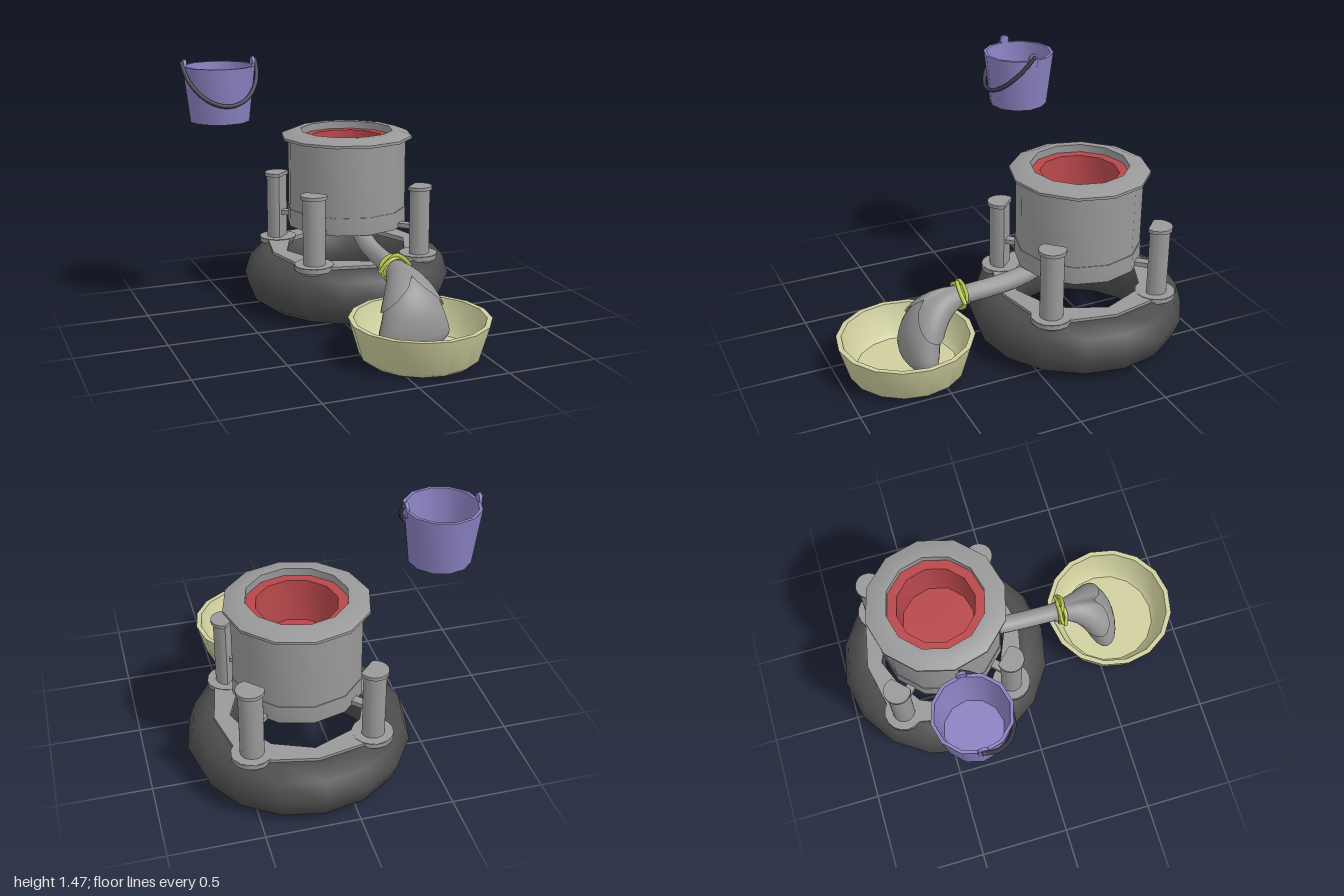
import * as THREE from 'three';
import { toCreasedNormals } from 'three/addons/utils/BufferGeometryUtils.js';
import { ParametricGeometry } from 'three/addons/geometries/ParametricGeometry.js';

const V = (x, y, z) => new THREE.Vector3(x, y, z);

function mat(name, color, side = THREE.FrontSide) {
  const m = new THREE.MeshStandardMaterial({ color, side });
  m.name = name;
  return m;
}

export function createModel() {
  const metal = mat('grey metal', 0x999999);
  const cloth = mat('grey cloth', 0x949494, THREE.DoubleSide);
  const rubber = mat('dark rubber', 0x4c4c4c);
  const red = mat('red liner', 0xb8474b);
  const beige = mat('pale basin', 0xcfcf9f);
  const rope = mat('yellow rope', 0xc3d153);
  const purple = mat('purple bucket', 0x8b82c2);
  const black = mat('dark handle', 0x3d3b4a);

  const model = new THREE.Group();
  model.name = 'washingMachineSet';
  const group = (name, x, z, parent = model) => {
    const g = new THREE.Group();
    g.name = name;
    g.position.set(x, 0, z);
    parent.add(g);
    return g;
  };
  const add = (parent, name, geo, material) => {
    const m = new THREE.Mesh(geo, material);
    m.name = name;
    parent.add(m);
    return m;
  };
  const lathe = (pts, sides, crease = 0.6) =>
    toCreasedNormals(new THREE.LatheGeometry(pts.map(p => new THREE.Vector2(...p)), sides), crease);
  const tube = (pts, r, seg = 20, sides = 8) =>
    new THREE.TubeGeometry(new THREE.CatmullRomCurve3(pts), seg, r, sides);
  // upright prism from a flat shape
  const prism = (shape, y0, y1) => {
    const g = new THREE.ExtrudeGeometry(shape, { depth: y1 - y0, bevelEnabled: false, curveSegments: 12 });
    g.rotateX(-Math.PI / 2).translate(0, y0, 0);
    return toCreasedNormals(g, 0.6);
  };

  const machine = group('machine', 0.18, -0.4);

  // Inflated tyre base
  add(machine, 'tyre', lathe([[0.42, 0.01], [0.49, 0.01], [0.565, 0.06], [0.605, 0.165], [0.57, 0.275],
    [0.49, 0.32], [0.43, 0.32], [0.385, 0.27], [0.36, 0.165], [0.385, 0.06], [0.42, 0.01]], 16, 1.1), rubber);

  // Support plate with rounded corners and an octagonal hole
  const plate = new THREE.Shape();
  for (let i = 0; i < 4; i++) {
    const a = i * Math.PI / 2, d = a + Math.PI / 4;
    const cx = 0.452 * Math.cos(d), cy = 0.452 * Math.sin(d);
    const px = 0.455 * Math.cos(a), py = 0.455 * Math.sin(a);
    i ? plate.lineTo(px, py) : plate.moveTo(px, py);
    for (let k = 0; k <= 8; k++) {
      const t = a + (-40 + k * 21.25) * Math.PI / 180;
      plate.lineTo(cx + 0.11 * Math.cos(t), cy + 0.11 * Math.sin(t));
    }
  }
  const hole = new THREE.Path();
  for (let i = 0; i < 8; i++) {
    const a = -i * Math.PI / 4;
    i ? hole.lineTo(0.37 * Math.cos(a), 0.37 * Math.sin(a)) : hole.moveTo(0.37, 0);
  }
  plate.holes.push(hole);
  add(machine, 'supportPlate', prism(plate, 0.31, 0.336), metal);

  // Four posts: pad, shaft, cap and bracket to the drum
  const dShape = r => {
    const s = new THREE.Shape();
    s.absarc(0, 0, r, -2.2, 2.2, false);
    s.closePath();
    return s;
  };
  for (let i = 0; i < 4; i++) {
    const post = group('post' + (i + 1), 0, 0, machine);
    post.rotation.y = Math.PI / 4 + i * Math.PI / 2;
    const pad = add(post, 'pad', toCreasedNormals(new THREE.CylinderGeometry(0.11, 0.085, 0.05, 16), 0.6), metal);
    pad.position.set(0.452, 0.315, 0);
    add(post, 'shaft', prism(dShape(0.063), 0.3, 0.72), metal).position.x = 0.452;
    add(post, 'cap', prism(dShape(0.074), 0.715, 0.735), metal).position.x = 0.452;
    const bar = add(post, 'bracket', new THREE.BoxGeometry(0.14, 0.026, 0.05), metal);
    bar.position.set(0.38, 0.493, 0);
  }

  // Drum, lower band and red liner
  add(machine, 'drum', lathe([[0, 0.482], [0.345, 0.482], [0.345, 0.985], [0.382, 0.985], [0.382, 1.0],
    [0.31, 1.028], [0.268, 1.028], [0.268, 0.98]], 12, 0.55), metal);
  add(machine, 'drumBand', lathe([[0.3, 0.48], [0.349, 0.48], [0.349, 0.58], [0.344, 0.58]], 12), metal);
  add(machine, 'liner', lathe([[0.268, 0.985], [0.215, 0.985], [0.2, 0.75], [0, 0.75]], 12), red);

  // Drain pipe
  add(model, 'drainPipe', tube([V(0.18, 0.53, -0.27), V(0.18, 0.44, -0.12), V(0.18, 0.405, 0.02),
    V(0.18, 0.383, 0.32)], 0.052, 16, 12), metal);

  // Cloth filter bag: path of (y, z) with half width and half height
  const rings = [[0.384, 0.27, 0.056, 0.055], [0.383, 0.33, 0.062, 0.055], [0.365, 0.4, 0.085, 0.072],
    [0.33, 0.46, 0.118, 0.085], [0.275, 0.51, 0.15, 0.092], [0.2, 0.545, 0.176, 0.097],
    [0.11, 0.56, 0.2, 0.095], [0.06, 0.56, 0.17, 0.08], [0.05, 0.56, 0.001, 0.001]];
  const path = new THREE.CatmullRomCurve3(rings.map(r => V(0.18, r[0], r[1])));
  const size = new THREE.CatmullRomCurve3(rings.map(r => V(r[2], r[3], 0)));
  const bagPoint = (t, a, off, out) => {
    const c = path.getPoint(t), d = path.getTangent(t), s = size.getPoint(t);
    const up = Math.sin(a) * (Math.abs(s.y) + off);
    out.set(c.x + Math.cos(a) * (Math.abs(s.x) + off), c.y + d.z * up, c.z - d.y * up);
  };
  add(model, 'filterBag', new ParametricGeometry((u, v, p) =>
    bagPoint(v * 0.999, u * Math.PI * 2, 0, p), 20, 24), cloth);
  // Gathered flap over the bag, notched at the top
  add(model, 'bagFlap', new ParametricGeometry((u, v, p) => {
    const a = u * Math.PI * 2;
    const end = 0.37 + 0.2 * Math.abs(Math.cos(a)) ** 0.7;
    bagPoint(0.1 + v * (end - 0.1), a, 0.003 + 0.01 * v, p);
  }, 24, 8), cloth);

  // Rope: two turns round the pipe, a knot and two loose ends
  const tie = group('ropeTie', 0.18, 0, model);
  [0.3, 0.322].forEach((z, i) => {
    const loop = add(tie, 'ropeLoop', new THREE.TorusGeometry(0.07, 0.01, 6, 20), rope);
    loop.position.set(0, 0.384, z);
    loop.rotation.y = i ? 0.12 : -0.12;
  });
  for (const s of [-1, 1]) {
    add(tie, 'ropeEnd', tube([V(-0.035 * s, 0.445, 0.31), V(0.0, 0.462 + 0.008 * s, 0.325),
      V(0.055 * s, 0.435, 0.33), V(0.095 * s, 0.38, 0.318)], 0.011, 14, 6), rope);
    add(tie, 'ropeBow', tube([V(-0.03 * s, 0.448, 0.295), V(0.02 * s, 0.464, 0.3),
      V(0.075 * s, 0.425, 0.3), V(0.085 * s, 0.39, 0.305)], 0.01, 12, 6), rope);
  }

  // Basin under the bag
  const basin = group('basin', 0.18, 0.627);
  add(basin, 'basinShell', lathe([[0, 0.008], [0.29, 0.008], [0.318, 0.03], [0.373, 0.22], [0.345, 0.22],
    [0.3, 0.06], [0.275, 0.035], [0, 0.035]], 16, 0.65), beige);

  // Bucket with ears and a swinging handle
  const bucket = group('bucket', -0.575, -0.393);
  add(bucket, 'bucketShell', lathe([[0, 1.13], [0.166, 1.13], [0.202, 1.435], [0.185, 1.435],
    [0.152, 1.15], [0, 1.15]], 12), purple);
  for (const s of [-1, 1]) {
    const ear = add(bucket, 'ear', new THREE.CylinderGeometry(0.026, 0.026, 0.016, 12), purple);
    ear.rotation.z = Math.PI / 2;
    ear.position.set(0.193 * s, 1.45, 0);
    add(bucket, 'earBase', new THREE.BoxGeometry(0.016, 0.05, 0.052), purple).position.set(0.193 * s, 1.425, 0);
  }
  const swing = [];
  for (let i = 0; i <= 12; i++) {
    const a = i / 12 * Math.PI, k = Math.sin(a);
    swing.push(V(-0.207 * Math.cos(a), 1.455 - 0.22 * k, 0.195 * k));
  }
  add(bucket, 'handle', tube(swing, 0.012, 32, 8), black);
  for (const s of [-1, 1]) {
    add(bucket, 'handleEnd', new THREE.SphereGeometry(0.012, 8, 6), black).position.set(0.207 * s, 1.455, 0);
  }
  return model;
}
